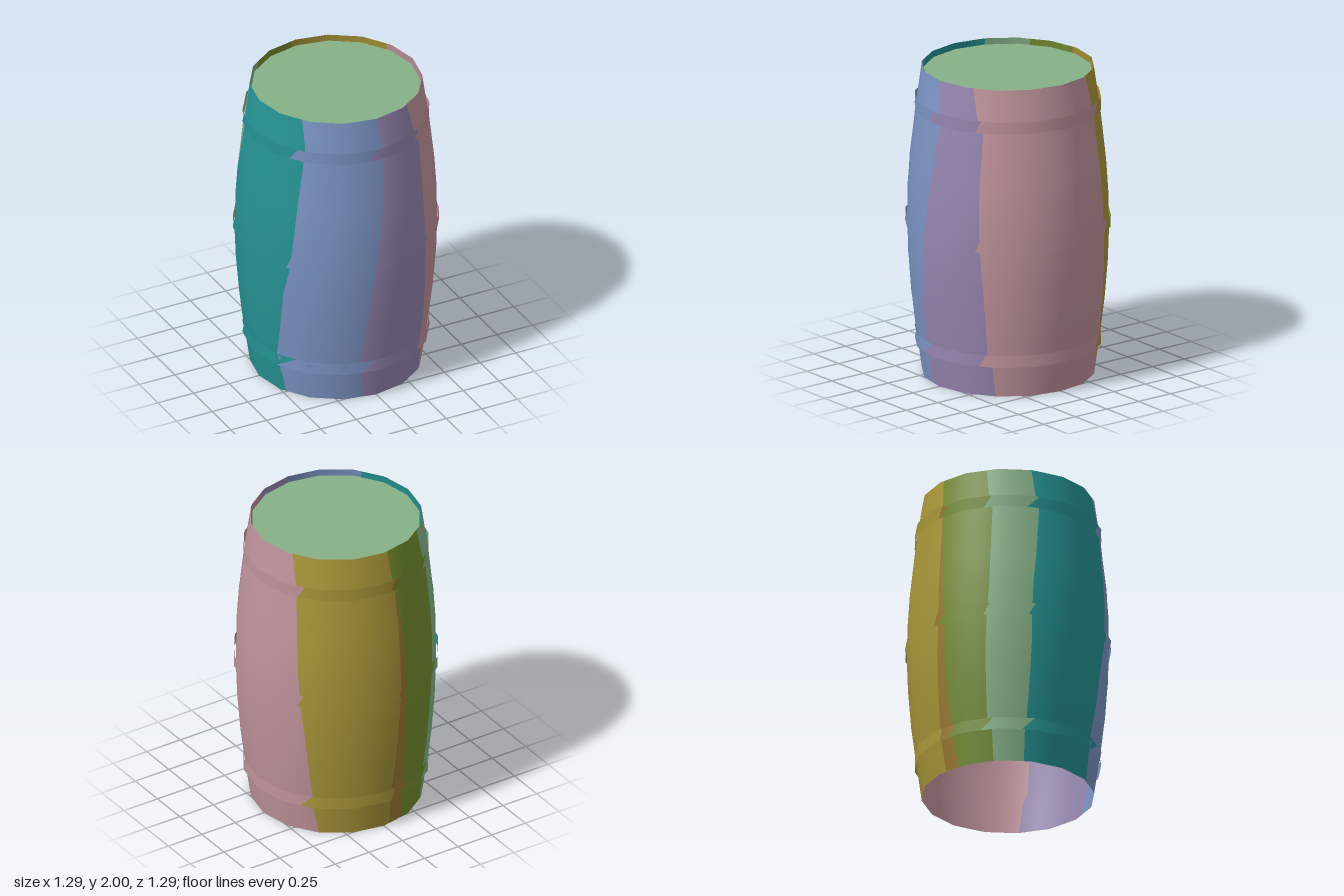
import * as THREE from 'three';

const SIDES = 16;
const STEP = (Math.PI * 2) / SIDES;
const rad = THREE.MathUtils.degToRad;

const material = (name, color) => {
  const m = new THREE.MeshStandardMaterial({ color, side: THREE.DoubleSide });
  m.name = name;
  return m;
};

// distance to the edge of a 16-sided ring whose corners have radius r
const ringRadius = (r, a) => {
  const t = a - Math.floor(a / STEP) * STEP - STEP / 2;
  return (r * Math.cos(STEP / 2)) / Math.cos(t);
};

// one stave-like panel; rows are [y, radius, startDegrees, endDegrees], bottom to top
function panel(rows, cols = 24) {
  const pos = [], nor = [], idx = [];
  rows.forEach(([y, r, a0, a1], i) => {
    const lo = rows[Math.max(i - 1, 0)], hi = rows[Math.min(i + 1, rows.length - 1)];
    const slope = -(hi[1] - lo[1]) / (hi[0] - lo[0]);
    for (let j = 0; j <= cols; j++) {
      const a = rad(a0 + ((a1 - a0) * j) / cols);
      const d = ringRadius(r, a);
      pos.push(d * Math.sin(a), y, d * Math.cos(a));
      const n = new THREE.Vector3(Math.sin(a), slope, Math.cos(a)).normalize();
      nor.push(n.x, n.y, n.z);
      if (i && j) {
        const p = i * (cols + 1) + j, q = p - cols - 1;
        idx.push(q - 1, q, p, q - 1, p, p - 1);
      }
    }
  });
  const g = new THREE.BufferGeometry();
  g.setAttribute('position', new THREE.Float32BufferAttribute(pos, 3));
  g.setAttribute('normal', new THREE.Float32BufferAttribute(nor, 3));
  g.setIndex(idx);
  return g;
}

export function createModel() {
  const sage = material('sage', 0x86b288);
  const colours = [
    material('blue', 0x7b93c2),
    material('purple', 0x9685b0),
    material('pink', 0xbf939b),
    material('olive', 0xa89538),
    material('brown', 0x9a7a30),
    material('green', 0x738e2d),
    sage,
    material('teal', 0x259394),
  ];

  // barrel profile
  const heights = [0, 0.2, 0.28, 0.5, 0.75, 0.96, 1.2, 1.4, 1.73, 1.81, 2];
  const radii = [0.54, 0.569, 0.58, 0.607, 0.626, 0.634, 0.63, 0.616, 0.58, 0.568, 0.54];

  // angle of each colour seam along the profile, from the front towards +x
  const seams = [
    [-63, -66, -67, -63, -60, -55, -52.5, -51, -48, -47.5, -51],
    [-9.5, -11, -12, -9.5, -6.5, -4, -1, 1, 4, 3, 0],
    [44, 42, 39, 38.5, 37, 35.5, 35, 35, 36.5, 32, 28],
    [135, 132, 132, 130, 128, 125.5, 124, 123, 121, 120, 116],
    [185, 184, 184, 185, 186, 187, 187, 187, 186, 185, 183],
    [196, 194, 193, 192, 191, 192, 191, 190, 187, 185, 183.5],
    [221.5, 221, 218, 218, 218, 219, 220.5, 221, 221.7, 219, 217],
    [242, 242, 243, 244, 245, 245, 246, 248, 251, 249, 247],
  ];

  // hoops: height range, radius and seam angles at the lower and upper edge
  const hoops = [
    { name: 'lowerHoop', y: [0.2, 0.278], r: 0.585,
      low: [-67, -12, 34, 124, 184, 190, 214, 240], high: [-53, -2, 38.5, 132, 186, 197, 222, 248] },
    { name: 'middleHoop', y: [0.963, 1.04], r: 0.645,
      low: [-57, -6, 33, 124, 185, 188, 217, 243], high: [-54, -3, 36, 128, 187, 193, 221, 247] },
    { name: 'upperHoop', y: [1.725, 1.803], r: 0.585,
      low: [-58, -6, 31, 122, 183, 185, 216, 243], high: [-52, -1, 35, 127, 186, 190, 221, 251] },
  ];

  const model = new THREE.Group();
  model.name = 'barrel';

  const addBand = (name, ys, rs, seamAt) => {
    const band = new THREE.Group();
    band.name = name;
    colours.forEach((mat, k) => {
      const last = k === colours.length - 1;
      const rows = ys.map((y, i) => [
        y, rs[i], seamAt(k, i), last ? seamAt(0, i) + 360 : seamAt(k + 1, i),
      ]);
      const mesh = new THREE.Mesh(panel(rows), mat);
      mesh.name = `${name} ${mat.name} panel`;
      band.add(mesh);
    });
    model.add(band);
  };

  // bulging wall, open at the bottom
  addBand('wall', heights, radii, (k, i) => seams[k][i]);

  // three raised hoops
  for (const h of hoops) {
    addBand(h.name, h.y, [h.r, h.r], (k, i) => (i ? h.high : h.low)[k]);
  }

  // lid set just below the rim
  const lid = new THREE.Mesh(new THREE.CircleGeometry(0.53, SIDES), sage);
  lid.name = 'lid';
  lid.rotation.x = -Math.PI / 2;
  lid.position.y = 1.963;
  model.add(lid);

  return model;
}
